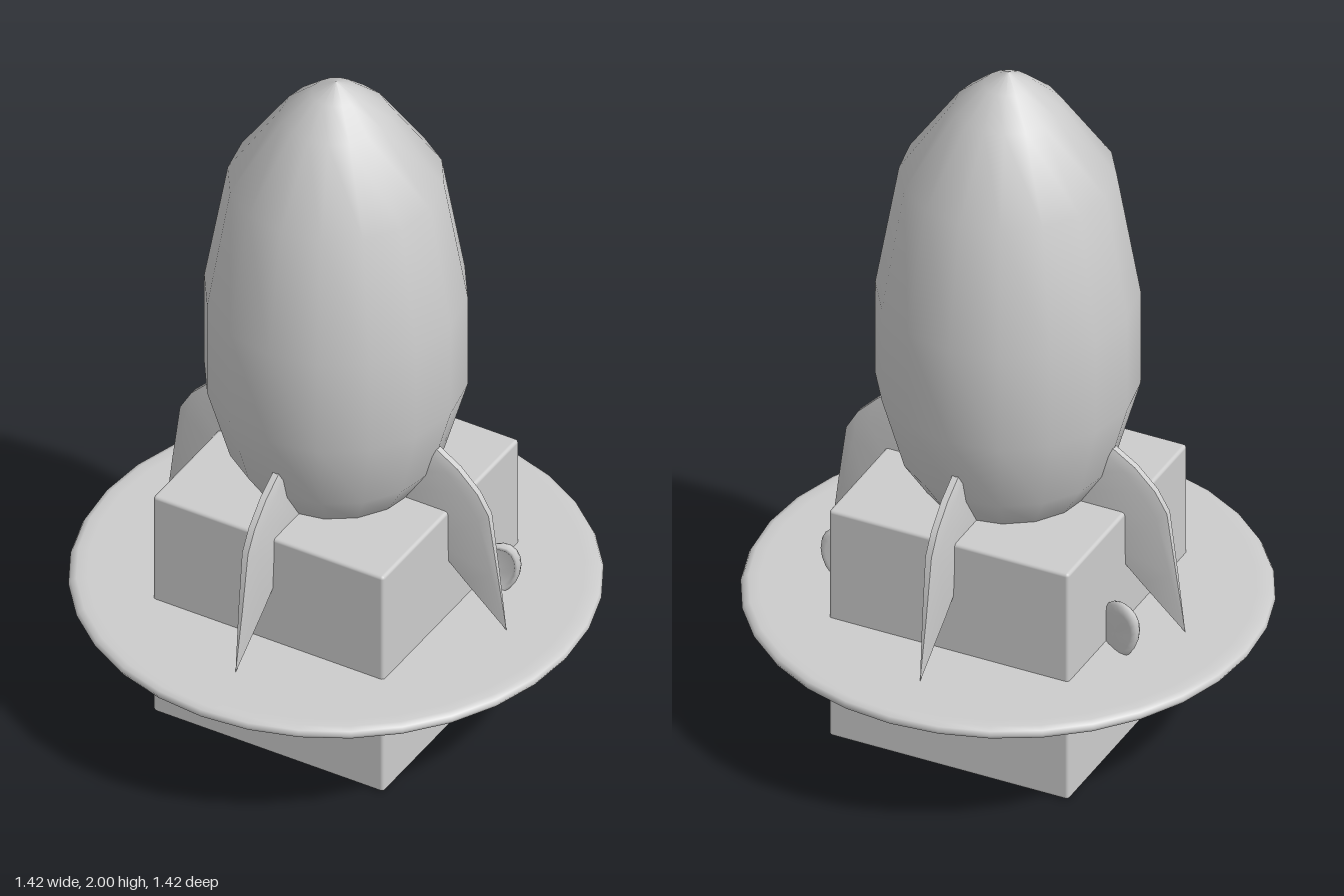
import * as THREE from 'three';
import { toCreasedNormals } from 'three/addons/utils/BufferGeometryUtils.js';
import { RoundedBoxGeometry } from 'three/addons/geometries/RoundedBoxGeometry.js';

const gray = new THREE.MeshStandardMaterial({ color: 0xcccccc });
gray.name = 'plain gray';

function part(name, geometry, parent) {
  const mesh = new THREE.Mesh(geometry, gray);
  mesh.name = name;
  parent.add(mesh);
  return mesh;
}

function lathe(points, sides) {
  return new THREE.LatheGeometry(points.map(([r, y]) => new THREE.Vector2(r, y)), sides);
}

// Swept fin: rows run from the root down to the pointed tip
function finGeometry() {
  // outer radius, outer height, inner radius, inner height, half thickness
  const rows = [
    [0.31, 0.905, 0.2, 0.8, 0.018],
    [0.38, 0.86, 0.2, 0.75, 0.018],
    [0.44, 0.80, 0.22, 0.69, 0.018],
    [0.475, 0.74, 0.3, 0.607, 0.018],
    [0.5, 0.56, 0.4, 0.504, 0.012],
    [0.525, 0.375, 0.525, 0.375, 0],
  ];
  const position = [], index = [], n = 6;
  rows.forEach(([ro, yo, ri, yi, h]) => {
    const section = [[0, 0.5], [0.15, 1], [1, 1], [1, -1], [0.15, -1], [0, -0.5]];
    section.forEach(([t, s]) => position.push(ro + (ri - ro) * t, yo + (yi - yo) * t, h * s));
  });
  for (let i = 0; i < rows.length - 1; i++) {
    for (let j = 0; j < n; j++) {
      const a = i * n + j, b = i * n + (j + 1) % n;
      index.push(a, b, a + n);
      if (i < rows.length - 2) index.push(b, b + n, a + n);
    }
  }
  for (let k = 1; k < n - 1; k++) index.push(0, k + 1, k);
  const g = new THREE.BufferGeometry();
  g.setAttribute('position', new THREE.Float32BufferAttribute(position, 3));
  g.setIndex(index);
  return toCreasedNormals(g, 0.7);
}

// Ear: an oval dish with a raised rim, sheared outward and swept backward
function earGeometry(side) {
  const g = lathe([[0, -0.013], [0.75, -0.013], [0.95, -0.008], [1, 0.003],
    [0.95, 0.014], [0.85, 0.014], [0.72, 0.003], [0, 0]], 20);
  g.rotateX(Math.PI / 2);
  const p = g.attributes.position;
  for (let i = 0; i < p.count; i++) {
    // the lathe axis points forward after the turn
    const v = p.getY(i), out = 0.395 + 0.072 * side * p.getX(i) + 0.025 * v;
    const t = Math.max(0, (out - 0.33) / 0.14);
    p.setXYZ(i, side * out, 0.43 + 0.093 * v, p.getZ(i) - 0.1 - 0.068 * Math.sin(Math.min(t, 1) * Math.PI / 2));
  }
  g.computeVertexNormals();
  return g;
}

export function createModel() {
  const model = new THREE.Group();
  model.name = 'rocketOnBlock';

  // Square block with softened edges
  part('block', new RoundedBoxGeometry(0.71, 0.715, 0.71, 2, 0.01), model).position.y = 0.3575;

  // Thin round plate with a rounded rim
  part('plate', lathe([[0, 0.34], [0.66, 0.34], [0.69, 0.34], [0.705, 0.347], [0.711, 0.358],
    [0.705, 0.369], [0.69, 0.376], [0.66, 0.376], [0, 0.376]], 32), model);

  // Rocket body
  part('rocketBody', lathe([[0, 0.62], [0.14, 0.64], [0.225, 0.71], [0.29, 0.81], [0.353, 1.03],
    [0.353, 1.32], [0.29, 1.685], [0.145, 1.895], [0.065, 1.965], [0, 2]], 16), model);

  // Four fins around the body
  const fin = finGeometry();
  for (let i = 0; i < 4; i++) part('fin' + (i + 1), fin, model).rotation.y = i * Math.PI / 2;

  // Ears on the two sides of the block
  part('leftEar', earGeometry(1), model);
  part('rightEar', earGeometry(-1), model);

  return model;
}
